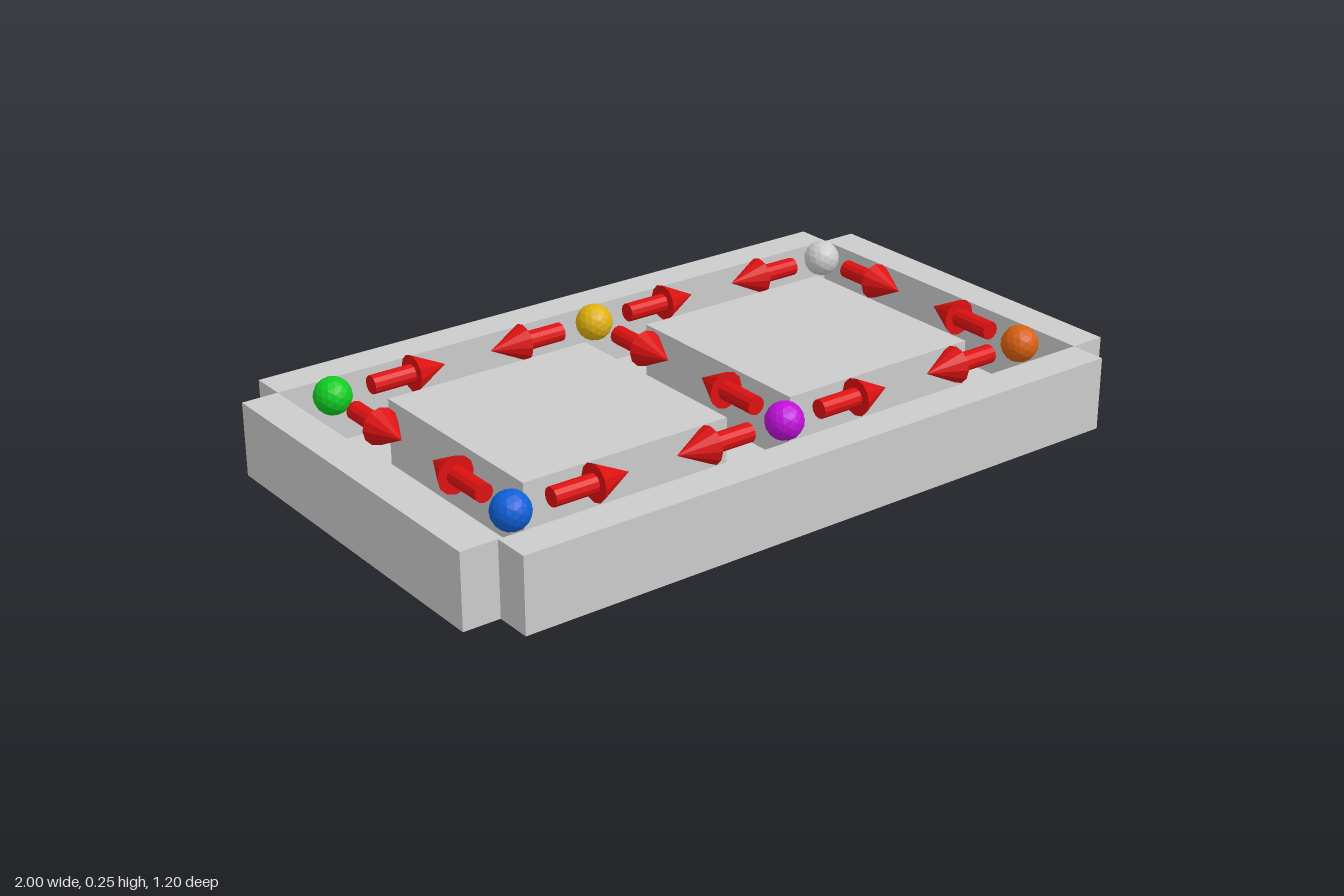
import * as THREE from 'three';

export function createModel() {
  const model = new THREE.Group();
  const mat = (color) => new THREE.MeshStandardMaterial({ color, flatShading: true });
  const grey = mat(0xcccccc);
  const red = mat(0xdd1111);

  const box = (name, w, h, d, x, y, z) => {
    const mesh = new THREE.Mesh(new THREE.BoxGeometry(w, h, d), grey);
    mesh.name = name;
    mesh.position.set(x, y, z);
    model.add(mesh);
  };

  // Tray: thin floor, four walls with notched corners, two islands
  const floorTop = 0.02, height = 0.2;
  box('floor', 1.8, floorTop, 1, 0, floorTop / 2, 0);
  for (const s of [-1, 1]) {
    const side = s > 0 ? 'left' : 'right';
    box(s > 0 ? 'frontWall' : 'backWall', 1.8, height, 0.1, 0, height / 2, s * 0.55);
    box(side + 'Wall', 0.1, height, 1, s * 0.95, height / 2, 0);
    box(side + 'Island', 0.6, height - floorTop, 0.6, s * 0.4, (height + floorTop) / 2, 0);
  }

  // Arrow pointing along +x, starting a little way off its ball
  const shaftGeo = new THREE.CylinderGeometry(0.025, 0.025, 0.12, 12).rotateZ(-Math.PI / 2).translate(0.17, 0, 0);
  const headGeo = new THREE.ConeGeometry(0.05, 0.1, 12).rotateZ(-Math.PI / 2).translate(0.28, 0, 0);
  const addArrow = (x, z, angle) => {
    const arrow = new THREE.Group();
    arrow.name = 'arrow';
    const shaft = new THREE.Mesh(shaftGeo, red);
    shaft.name = 'arrowShaft';
    const head = new THREE.Mesh(headGeo, red);
    head.name = 'arrowHead';
    arrow.add(shaft, head);
    arrow.position.set(x, height, z);
    arrow.rotation.y = angle;
    model.add(arrow);
  };

  // Coloured balls at the corridor junctions, with arrows towards each neighbour
  const ballGeo = new THREE.IcosahedronGeometry(0.05, 2);
  const rows = [
    { z: -0.4, colors: [0x11cc22, 0xe0b010, 0xc0c0c0] },
    { z: 0.4, colors: [0x1060d8, 0xc010d8, 0xd86010] },
  ];
  for (const { z, colors } of rows) {
    colors.forEach((color, i) => {
      const x = (i - 1) * 0.8;
      const ball = new THREE.Mesh(ballGeo, mat(color));
      ball.name = 'ball';
      ball.position.set(x, height, z);
      model.add(ball);
      if (i < 2) addArrow(x, z, 0);
      if (i > 0) addArrow(x, z, Math.PI);
      addArrow(x, z, Math.sign(z) * Math.PI / 2);
    });
  }
  return model;
}
